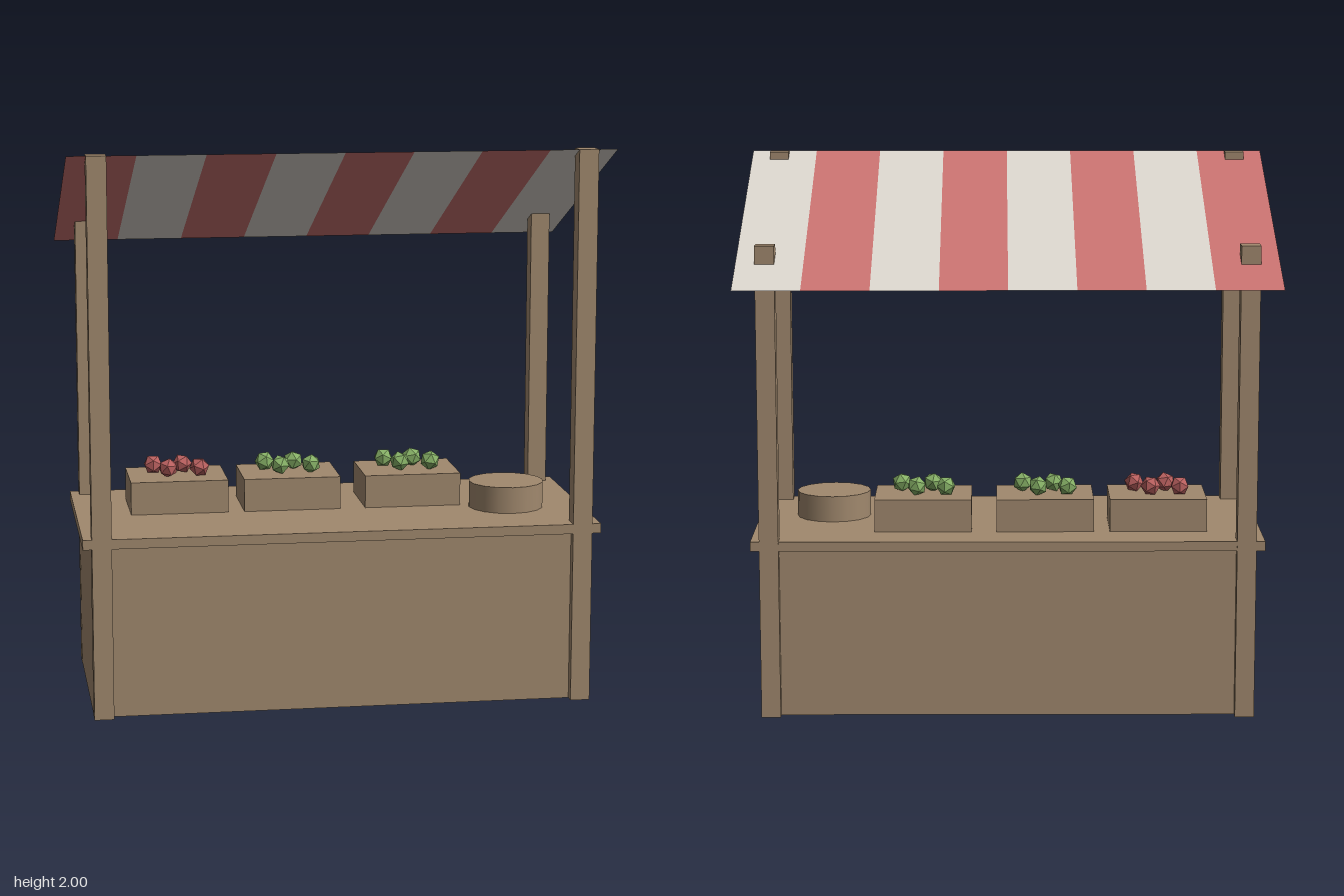
import * as THREE from 'three';

const material = (name, color, extra = {}) => {
  const m = new THREE.MeshStandardMaterial({ color, ...extra });
  m.name = name;
  return m;
};

export function createModel() {
  const wood = material('wood', 0xa1896e);
  const red = material('red cloth', 0xca7270, { side: THREE.DoubleSide });
  const white = material('white cloth', 0xdbd5cd, { side: THREE.DoubleSide });
  const redProduce = material('red produce', 0xb9605f, { flatShading: true });
  const greenProduce = material('green produce', 0x86b066, { flatShading: true });

  const model = new THREE.Group();
  model.name = 'marketStall';

  const add = (name, geometry, mat, x, y, z) => {
    const mesh = new THREE.Mesh(geometry, mat);
    mesh.name = name;
    mesh.position.set(x, y, z);
    model.add(mesh);
    return mesh;
  };
  // Box given by its lower and upper limits
  const box = (name, mat, [x0, x1], [y0, y1], [z0, z1]) =>
    add(name, new THREE.BoxGeometry(x1 - x0, y1 - y0, z1 - z0), mat,
      (x0 + x1) / 2, (y0 + y1) / 2, (z0 + z1) / 2);

  // Counter
  box('counterBody', wood, [-0.897, 0.897], [0, 0.62], [-0.29, 0.465]);
  box('counterTop', wood, [-0.93, 0.93], [0.62, 0.655], [-0.325, 0.5]);

  // Corner posts, taller at the front
  for (const side of [-1, 1]) {
    const x = side * 0.863;
    box('frontPost', wood, [x - 0.035, x + 0.035], [0, 2], [0.43, 0.5]);
    box('backPost', wood, [x - 0.035, x + 0.035], [0, 1.727], [-0.326, -0.257]);
  }

  // Sloping striped canopy, a single thin sheet per stripe
  const stripes = 8, width = 1.932 / stripes, drop = 0.41;
  for (let i = 0; i < stripes; i++) {
    const stripe = new THREE.PlaneGeometry(width, Math.hypot(1, drop));
    stripe.rotateX(-Math.PI / 2 + Math.atan(drop) * -1);
    // Lay the sheet so that its front edge is the high one
    const p = stripe.attributes.position;
    for (let k = 0; k < p.count; k++) {
      const z = p.getY(k) === 0 ? 0 : (k < 2 ? -0.5 : 0.5);
      p.setXYZ(k, p.getX(k), z * drop, z);
    }
    stripe.computeVertexNormals();
    add('canopyStripe', stripe, i % 2 ? white : red,
      -0.966 + width * (i + 0.5), 2 - drop / 2, 0);
  }

  // Crates, each with four zigzag pieces of produce
  const piece = new THREE.IcosahedronGeometry(0.037, 0);
  [[-0.553, redProduce], [-0.138, greenProduce], [0.31, greenProduce]].forEach(([cx, mat], c) => {
    box('crate', wood, [cx - 0.178, cx + 0.178], [0.655, 0.775], [-0.155, 0.122]);
    [-0.083, -0.033, 0.025, 0.082].forEach((dx, i) => {
      const p = add('produce', piece, mat, cx + dx, 0.806, i % 2 ? 0.02 : -0.053);
      p.rotation.set(i * 0.7 + c, i * 1.3 + c * 0.5, c * 0.4);
    });
  });

  // Round tub
  add('tub', new THREE.CylinderGeometry(0.138, 0.138, 0.096, 16), wood, 0.652, 0.703, 0.156);

  return model;
}
